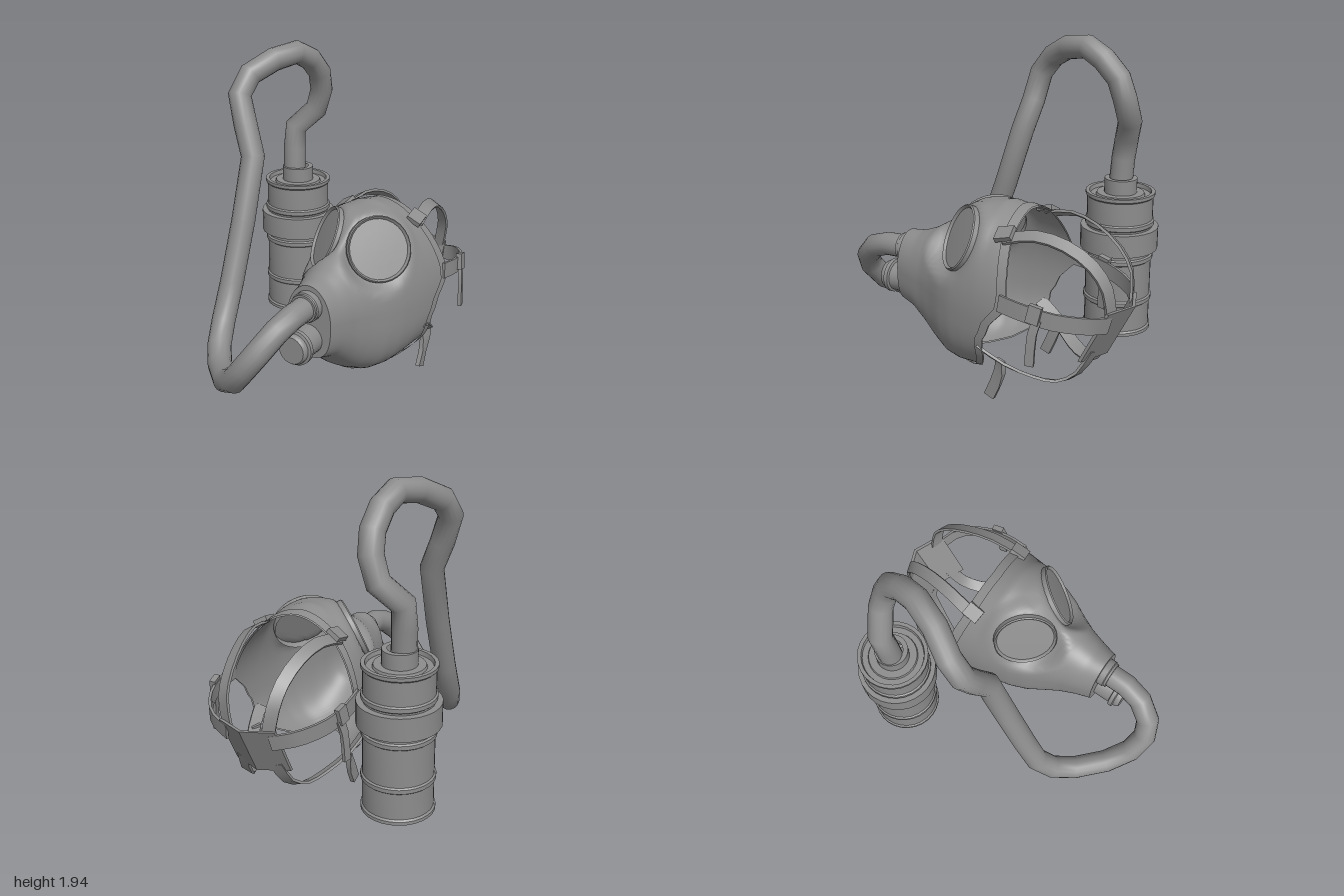
import * as THREE from 'three';
import { toCreasedNormals } from 'three/addons/utils/BufferGeometryUtils.js';

const V = (x, y, z) => new THREE.Vector3(x, y, z);
const mat = new THREE.MeshStandardMaterial({ color: 0x8c8c8c, side: THREE.DoubleSide });

function add(parent, name, geo) {
  const m = new THREE.Mesh(geo, mat);
  m.name = name;
  parent.add(m);
  return m;
}

const lathe = (pts, seg = 24) =>
  toCreasedNormals(new THREE.LatheGeometry(pts.map(p => new THREE.Vector2(...p)), seg), 0.6);

// Linear lookup in rows of [key, ...values], keys rising
function lookup(rows, k) {
  let i = 0;
  while (i < rows.length - 2 && k > rows[i + 1][0]) i++;
  const t = THREE.MathUtils.clamp((k - rows[i][0]) / (rows[i + 1][0] - rows[i][0]), 0, 1);
  return rows[i].slice(1).map((v, j) => v + (rows[i + 1][j + 1] - v) * t);
}

// Face sections: z, half width, top, bottom, height of widest point
const SECTIONS = [
  [-0.42, 0.42, 1.04, 0.12, 0.5], [-0.3, 0.405, 1.065, 0.12, 0.5], [-0.2, 0.39, 1.085, 0.12, 0.5],
  [-0.1, 0.37, 1.07, 0.1, 0.5], [0, 0.345, 1.04, 0.09, 0.51], [0.1, 0.305, 0.97, 0.1, 0.52],
  [0.2, 0.25, 0.89, 0.15, 0.53], [0.3, 0.205, 0.83, 0.23, 0.54], [0.4, 0.175, 0.79, 0.31, 0.55],
  [0.5, 0.145, 0.78, 0.34, 0.56],
];
// Back edge: angle from the top in degrees, z
const EDGE = [
  [0, -0.35], [40, -0.37], [70, -0.42], [79, -0.42], [90, -0.32], [100, -0.265],
  [122, -0.25], [140, -0.2], [155, -0.1], [166, 0.01], [180, 0.1],
];

const eyeCentre = s => V(s * 0.175, 0.87, 0.015);
const eyeNormal = s => V(s * 0.68, 0.4, 0.6).normalize();

// Point of the mask skin: s runs from muzzle (0) to back edge (1), a is the angle from the top
function skin(s, a, lift = 0) {
  const deg = Math.abs(THREE.MathUtils.radToDeg(a > Math.PI ? a - 2 * Math.PI : a));
  const z = 0.5 + (lookup(EDGE, deg)[0] - 0.5) * s;
  const [w, top, bot, mid] = lookup(SECTIONS, z);
  const c = Math.cos(a), sn = Math.sin(a), e = c < 0 ? 0.72 : 1;
  const p = V(Math.sign(sn) * Math.abs(sn) ** e * (w + lift),
    mid + (c > 0 ? (top - mid + lift) * c : -(mid - bot + lift) * Math.abs(c) ** e), z);
  // Flatten the eye sockets
  const side = p.x < 0 ? -1 : 1, n = eyeNormal(side), d = p.clone().sub(eyeCentre(side));
  const h = d.dot(n), r = d.addScaledVector(n, -h).length();
  if (h > -0.15) p.addScaledVector(n, -(h + 0.012) * (1 - THREE.MathUtils.smoothstep(r, 0.18, 0.27)));
  return p;
}

// Closed rings of points joined into a surface
function loft(rings, closeEnds = false) {
  const n = rings[0].length, idx = [];
  for (let i = 0; i < rings.length - 1; i++) for (let j = 0; j < n; j++) {
    const a = i * n + j, b = i * n + (j + 1) % n;
    idx.push(a, b, a + n, b, b + n, a + n);
  }
  if (closeEnds) for (let j = 1; j < n - 1; j++) {
    const o = (rings.length - 1) * n;
    idx.push(0, j + 1, j, o, o + j, o + j + 1);
  }
  const g = new THREE.BufferGeometry().setFromPoints(rings.flat());
  g.setIndex(idx);
  g.computeVertexNormals();
  return g;
}

const skinRings = (s0, s1, rows, lift) => Array.from({ length: rows + 1 }, (_, i) =>
  Array.from({ length: 72 }, (_, j) => skin(s0 + (s1 - s0) * i / rows, j / 36 * Math.PI, lift)));

// Flat strap along a path, its face turned away from the head's centre
function strap(pts, width, segs = 10, thick = 0.016) {
  const curve = new THREE.CatmullRomCurve3(pts.map(p => V(...p)));
  const rings = [];
  for (let i = 0; i <= segs; i++) {
    const p = curve.getPoint(i / segs), t = curve.getTangent(i / segs);
    const out = p.clone().sub(V(0, 0.6, -0.5));
    out.addScaledVector(t, -out.dot(t)).normalize();
    const side = t.clone().cross(out);
    rings.push([[1, 1], [-1, 1], [-1, -1], [1, -1]].map(([u, v]) =>
      p.clone().addScaledVector(side, u * width / 2).addScaledVector(out, v * thick / 2)));
  }
  return toCreasedNormals(loft(rings, true), 0.6);
}

function buildMask() {
  const g = new THREE.Group();
  g.name = 'mask';
  add(g, 'faceShell', loft(skinRings(0, 1, 40, 0)));
  add(g, 'shellRim', loft(skinRings(0.93, 1, 3, 0.01)));
  const face = skinRings(0, 1, 1, 0)[0].map(p => new THREE.Vector2(p.x, p.y)).reverse();
  add(g, 'muzzlePlate', new THREE.ShapeGeometry(new THREE.Shape(face))).position.z = 0.5;

  // Hose collar and outlet valve
  const collar = add(g, 'hoseCollar', lathe([[0.09, -0.02], [0.09, 0.04], [0.083, 0.045], [0.083, 0.06], [0, 0.06]]));
  collar.position.set(0, 0.66, 0.5);
  const valve = add(g, 'outletValve', lathe([[0.09, -0.02], [0.09, 0.11], [0.105, 0.115], [0.105, 0.14], [0.09, 0.145],
    [0.09, 0.165], [0.08, 0.18], [0, 0.18]]));
  valve.position.set(0, 0.455, 0.5);
  collar.rotation.x = valve.rotation.x = Math.PI / 2;

  for (const s of [-1, 1]) {
    const eye = add(g, 'eyepiece', lathe([[0.197, -0.05], [0.197, 0.014], [0.19, 0.022], [0.182, 0.014],
      [0.178, 0.006], [0.1, 0.008], [0, 0.01]], 28));
    eye.position.copy(eyeCentre(s));
    eye.quaternion.setFromUnitVectors(V(0, 1, 0), eyeNormal(s));

    // Harness
    const m = pts => pts.map(([x, y, z]) => [s * x, y, z]);
    add(g, 'upperStrap', strap(m([[0.255, 0.95, -0.32], [0.23, 0.99, -0.5], [0.2, 0.955, -0.67],
      [0.175, 0.86, -0.82], [0.16, 0.74, -0.9], [0.13, 0.57, -0.915]]), 0.075));
    add(g, 'sideStrap', strap(m([[0.415, 0.645, -0.38], [0.42, 0.625, -0.53], [0.385, 0.595, -0.7],
      [0.28, 0.565, -0.85], [0.14, 0.53, -0.91]]), 0.095));
    add(g, 'lowerStrap', strap(m([[0.37, 0.33, -0.21], [0.33, 0.24, -0.36], [0.25, 0.165, -0.5],
      [0.19, 0.14, -0.62], [0.14, 0.2, -0.73], [0.11, 0.34, -0.81]]), 0.075));
    add(g, 'sideStrapEnd', strap(m([[0.42, 0.6, -0.62], [0.435, 0.52, -0.6], [0.445, 0.34, -0.59]]), 0.05, 4, 0.022));
    add(g, 'lowerStrapEnd', strap(m([[0.33, 0.26, -0.34], [0.33, 0.18, -0.335], [0.33, 0.02, -0.27]]), 0.065, 4, 0.028));
    add(g, 'upperBuckle', strap(m([[0.25, 0.965, -0.27], [0.245, 0.99, -0.37]]), 0.09, 2, 0.03));
    add(g, 'sideBuckle', strap(m([[0.43, 0.64, -0.57], [0.42, 0.625, -0.64]]), 0.1, 2, 0.035));
  }

  // Bent pad at the back of the head
  const pad = [[-0.18, 0.075], [0, 0], [0.18, 0.075]].map(([x, dz]) =>
    [[0.61, -1], [0.29, -0.84], [0.29, -0.82], [0.61, -0.98]].map(([y, z]) => V(x, y, z + dz)));
  add(g, 'headPad', toCreasedNormals(loft(pad, true), 0.3));
  g.position.x = 0.27;
  return g;
}

function buildCanister() {
  const g = new THREE.Group();
  g.name = 'canister';
  const ridge = y => [[0.203, y - 0.02], [0.213, y - 0.012], [0.213, y + 0.012], [0.203, y + 0.02]];
  add(g, 'canisterBody', lathe([[0, 0.11], [0.213, 0.11], [0.213, 0.13], [0.203, 0.14], ...ridge(0.32), ...ridge(0.59),
    ...ridge(0.81), [0.203, 0.97], [0.213, 0.98], [0.213, 1.0], [0.19, 1.0], [0.185, 0.975], [0.15, 0.975],
    [0.145, 0.99], [0.1, 0.99], [0.1, 1.08], [0.07, 1.08]], 28));
  add(g, 'canisterBand', lathe([[0.2, 0.64], [0.24, 0.64], [0.24, 0.78], [0.2, 0.78]], 28));
  g.position.set(-0.48, 0, -0.55);
  return g;
}

function buildHose() {
  const path = [
    [-0.5, 1.04, -0.54], [-0.505, 1.2, -0.55], [-0.505, 1.34, -0.57], [-0.39, 1.46, -0.635], [-0.34, 1.6, -0.62],
    [-0.33, 1.72, -0.58], [-0.335, 1.82, -0.48], [-0.36, 1.88, -0.36], [-0.42, 1.855, -0.2], [-0.5, 1.78, -0.06],
    [-0.515, 1.67, 0.03], [-0.46, 1.5, 0.055], [-0.385, 1.32, 0.09], [-0.38, 0.95, 0.21], [-0.38, 0.6, 0.34],
    [-0.38, 0.37, 0.44], [-0.34, 0.26, 0.54], [-0.25, 0.21, 0.655], [-0.1, 0.22, 0.8], [0.03, 0.3, 0.895],
    [0.13, 0.42, 0.925], [0.2, 0.52, 0.89], [0.25, 0.615, 0.79], [0.27, 0.655, 0.67], [0.27, 0.66, 0.53],
  ].map(p => V(...p));
  // One tube segment per path point keeps the bends angular
  const curve = new THREE.CatmullRomCurve3(path);
  curve.getPointAt = (t, o) => curve.getPoint(t, o);
  curve.getTangentAt = (t, o) => curve.getTangent(t, o);
  return new THREE.TubeGeometry(curve, path.length - 1, 0.072, 16);
}

export function createModel() {
  const model = new THREE.Group();
  model.name = 'gasMask';
  model.add(buildMask(), buildCanister());
  add(model, 'hose', buildHose());
  return model;
}
